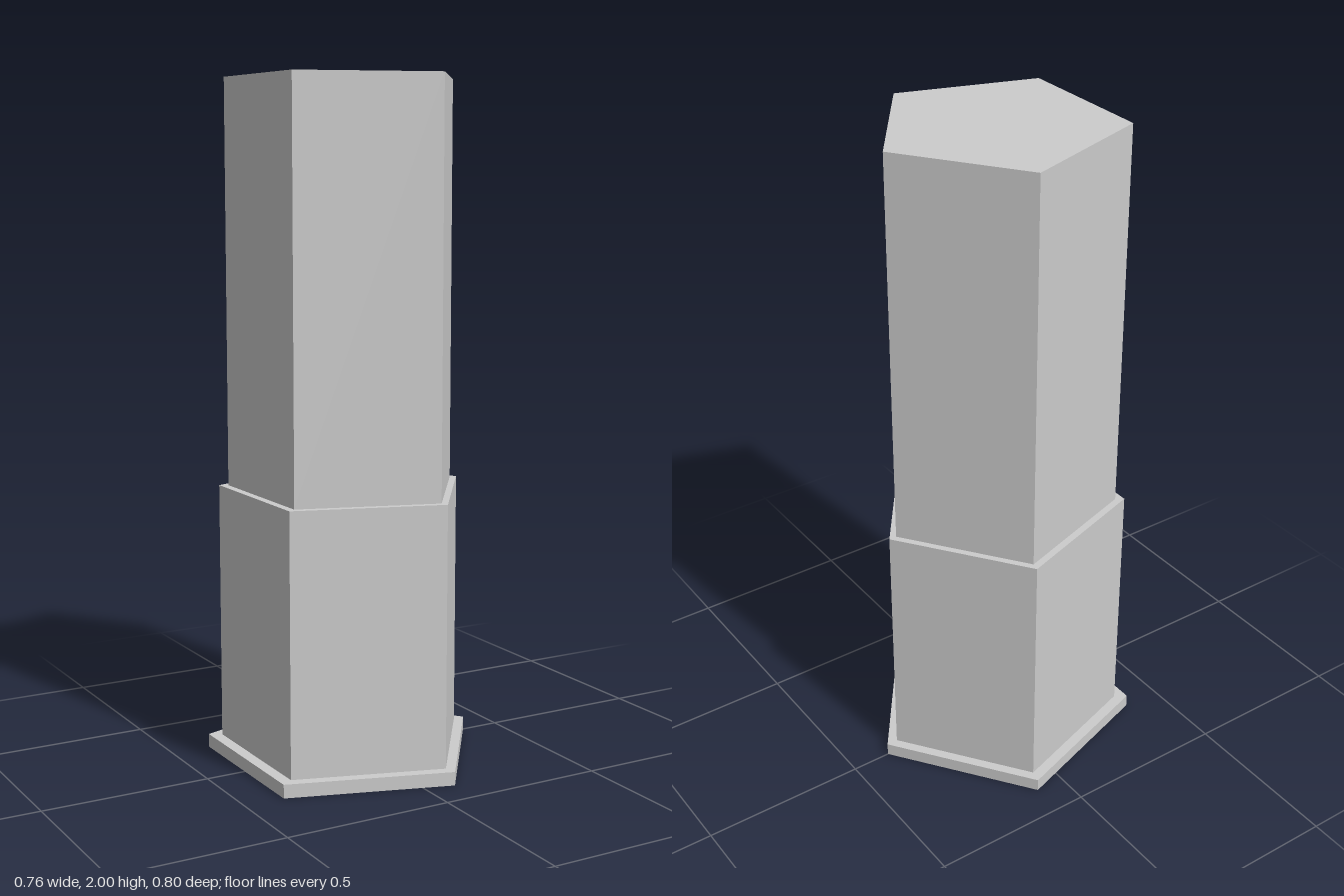
import * as THREE from 'three';

export function createModel() {
  const group = new THREE.Group();
  group.name = 'steppedPentagonalColumn';
  const material = new THREE.MeshStandardMaterial({ color: 0xcccccc, flatShading: true });

  // Five-sided prism with a corner towards +x, its width centred on x = 0
  function addPrism(name, radius, bottom, top) {
    const geometry = new THREE.CylinderGeometry(radius, radius, top - bottom, 5, 1, false, Math.PI / 2);
    const offset = -radius * (1 - Math.cos(Math.PI / 5)) / 2;
    geometry.translate(offset, (bottom + top) / 2, 0);
    const mesh = new THREE.Mesh(geometry, material);
    mesh.name = name;
    group.add(mesh);
  }

  addPrism('basePlate', 0.4206, 0, 0.04);
  addPrism('lowerShaft', 0.3825, 0.04, 0.81);
  addPrism('upperShaft', 0.357, 0.81, 2);

  return group;
}
